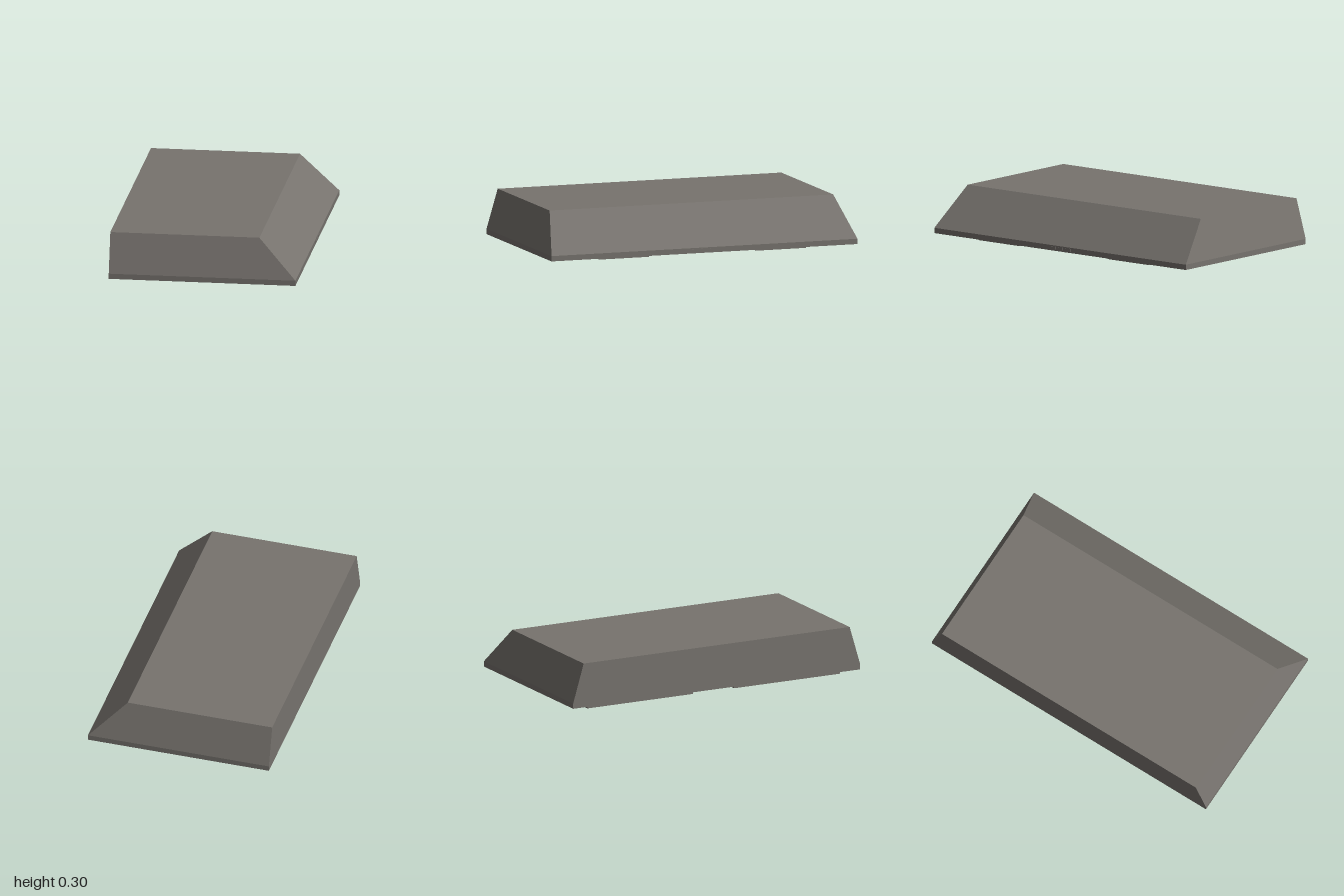
import * as THREE from 'three';

const steel = new THREE.MeshStandardMaterial({ color: 0x77736e });
steel.name = 'brushed steel';

// rectangle path in the x-z plane, r = [x0, x1, z0, z1]
function rect(r, Kind = THREE.Path) {
  const [x0, x1, z0, z1] = r;
  return new Kind([[x0, z0], [x1, z0], [x1, z1], [x0, z1]].map(p => new THREE.Vector2(...p)));
}
const inset = (r, w) => [r[0] + w, r[1] - w, r[2] + w, r[3] - w];

// horizontal plate between heights y0 and y1, with rectangular holes
function plate(name, r, y0, y1, holes = []) {
  const shape = rect(r, THREE.Shape);
  holes.forEach(h => shape.holes.push(rect(h)));
  const geo = new THREE.ExtrudeGeometry(shape, { depth: y1 - y0, bevelEnabled: false });
  geo.rotateX(Math.PI / 2).translate(0, y1, 0);
  const mesh = new THREE.Mesh(geo, steel);
  mesh.name = name;
  return mesh;
}

// evenly spaced holes; fill is the open share of each cell
function holeGrid(r, nx, nz, fill) {
  const holes = [];
  const sx = (r[1] - r[0]) / nx, sz = (r[3] - r[2]) / nz;
  for (let i = 0; i < nx; i++) for (let j = 0; j < nz; j++) {
    const cx = r[0] + (i + 0.5) * sx, cz = r[2] + (j + 0.5) * sz;
    holes.push([cx - sx * fill / 2, cx + sx * fill / 2, cz - sz * fill / 2, cz + sz * fill / 2]);
  }
  return holes;
}

// outer shell: low lip, then walls tapering to the top, straight at the back
function hoodShell() {
  const sections = [[0.022, 0.578, 1], [0.055, 0.578, 1], [0.3, 0.345, 0.927]];
  const rings = sections.map(([y, x, z]) => [[-0.578, y, z], [x, y, z], [x, y, -z], [-0.578, y, -z]]);
  const pos = [];
  const quad = (a, b, c, d) => pos.push(...a, ...b, ...c, ...a, ...c, ...d);
  for (let k = 0; k < 2; k++) for (let i = 0; i < 4; i++) {
    const j = (i + 1) % 4;
    quad(rings[k][i], rings[k][j], rings[k + 1][j], rings[k + 1][i]);
  }
  quad(...rings[2]);
  const geo = new THREE.BufferGeometry();
  geo.setAttribute('position', new THREE.Float32BufferAttribute(pos, 3));
  geo.computeVertexNormals();
  const mesh = new THREE.Mesh(geo, steel);
  mesh.name = 'hoodShell';
  return mesh;
}

// grease filter: stepped frame, perforated grille and the cavity above it
function filter(r) {
  const g = new THREE.Group();
  g.name = 'greaseFilter';
  const step = inset(r, 0.035), open = inset(r, 0.06);
  g.add(plate('filterFrame', r, 0, 0.022, [step]));
  g.add(plate('filterInnerFrame', step, 0.006, 0.022, [open]));
  g.add(plate('filterGrille', open, 0.012, 0.018, holeGrid(inset(open, 0.01), 16, 16, 0.66)));
  g.add(plate('cavityWalls', inset(open, -0.01), 0.022, 0.285, [open]));
  g.add(plate('cavityCeiling', open, 0.28, 0.285));
  return g;
}

// lamp: two nested frames around a slotted cover
function lamp(r) {
  const g = new THREE.Group();
  g.name = 'lamp';
  const cover = inset(r, 0.042);
  g.add(plate('lampFrame', r, 0.011, 0.022, [inset(r, 0.018)]));
  g.add(plate('lampInnerFrame', inset(r, 0.03), 0.013, 0.022, [cover]));
  g.add(plate('lampCover', cover, 0.015, 0.02, holeGrid(cover, 1, 8, 0.6)));
  return g;
}

export function createModel() {
  const model = new THREE.Group();
  model.name = 'rangeHood';
  model.add(hoodShell());

  // underside with an opening below each filter
  const filters = [[-0.538, 0.304, 0.142, 0.88], [-0.538, 0.304, -0.88, -0.142]];
  model.add(plate('underside', [-0.578, 0.578, -1, 1], 0.022, 0.026, filters.map(r => inset(r, 0.06))));
  filters.forEach(r => model.add(filter(r)));
  for (const s of [0.35, -0.675]) model.add(lamp([0.378, 0.545, s, s + 0.325]));

  // control buttons on the front lip
  for (let i = -1; i <= 1; i++) {
    const button = new THREE.Mesh(new THREE.BoxGeometry(0.006, 0.018, 0.045), steel);
    button.position.set(0.577, 0.039, i * 0.06);
    button.name = 'controlButton';
    model.add(button);
  }
  return model;
}
